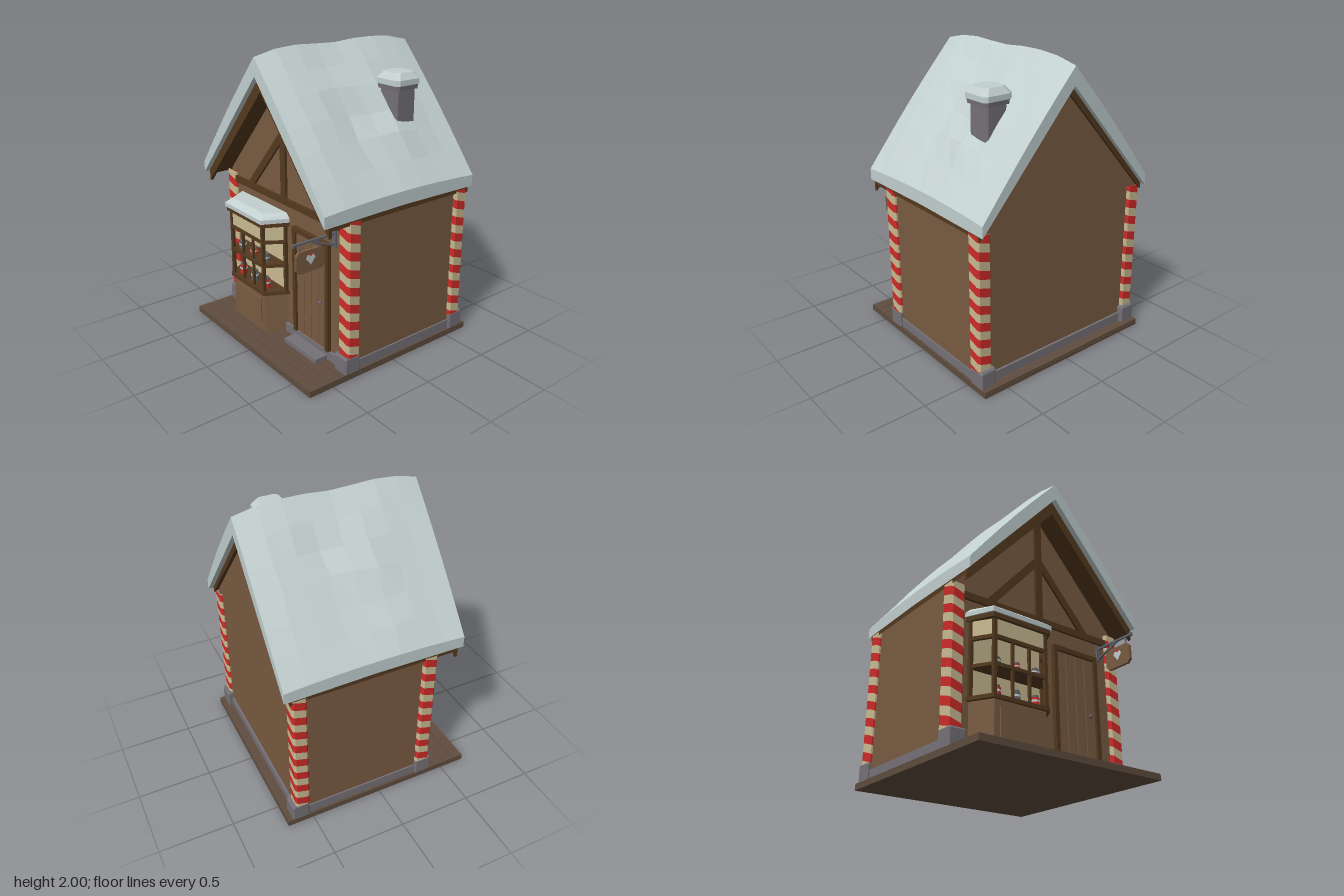
import * as THREE from 'three';

const mat = (name, hex) => {
  const m = new THREE.MeshStandardMaterial({ color: hex });
  m.name = name;
  return m;
};

export function createModel() {
  const root = new THREE.Group();
  root.name = 'snowyShop';
  const wood = mat('wall wood', 0x7a5c42), dark = mat('dark timber', 0x543a20);
  const plank = mat('plank brown', 0x5f4d3f), stone = mat('stone', 0x767278);
  const snow = mat('snow', 0xc3d0d0), red = mat('candy red', 0xd02c28);
  const cream = mat('cream', 0xcabc94), metal = mat('metal', 0x65646c);

  const add = (name, geo, m) => {
    const mesh = new THREE.Mesh(geo, m);
    mesh.name = name;
    root.add(mesh);
    return mesh;
  };
  // Box given by its limits
  const box = (name, m, x0, x1, y0, y1, z0, z1) => {
    const b = add(name, new THREE.BoxGeometry(x1 - x0, y1 - y0, z1 - z0), m);
    b.position.set((x0 + x1) / 2, (y0 + y1) / 2, (z0 + z1) / 2);
    return b;
  };
  // Square bar between two points
  const bar = (name, m, p, q, w, h) => {
    const a = new THREE.Vector3(...p), b = new THREE.Vector3(...q);
    const mesh = add(name, new THREE.BoxGeometry(w, h, a.distanceTo(b)), m);
    mesh.position.copy(a).add(b).multiplyScalar(0.5);
    mesh.lookAt(b);
    return mesh;
  };
  const shapeOf = (pts) => new THREE.Shape(pts.map(([x, y]) => new THREE.Vector2(x, y)));
  const extrude = (pts, depth) => new THREE.ExtrudeGeometry(shapeOf(pts), { depth, bevelEnabled: false });
  // Outline in x, y pushed along z
  const slab = (name, m, pts, z0, z1) => add(name, extrude(pts, z1 - z0).translate(0, 0, z0), m);
  const flat = (geo) => {
    const g = geo.index ? geo.toNonIndexed() : geo;
    g.computeVertexNormals();
    return g;
  };
  // Stack of chamfered rectangles, each ring [y, half x, half z]
  const chamferRing = (hx, hz, c) => [[-hx + c, hz], [hx - c, hz], [hx, hz - c], [hx, -hz + c],
    [hx - c, -hz], [-hx + c, -hz], [-hx, -hz + c], [-hx, hz - c]];
  const loft = (rings, c) => {
    const pos = [], n = 8;
    const R = rings.map(([y, hx, hz]) => chamferRing(hx, hz, c).map(([x, z]) => [x, y, z]));
    for (let i = 0; i + 1 < R.length; i++) for (let j = 0; j < n; j++) {
      const k = (j + 1) % n, a = R[i][j], b = R[i][k], d = R[i + 1][j], e = R[i + 1][k];
      pos.push(...a, ...b, ...e, ...a, ...e, ...d);
    }
    const top = R[R.length - 1], low = R[0];
    for (let j = 1; j < n - 1; j++) pos.push(...top[0], ...top[j], ...top[j + 1], ...low[0], ...low[j + 1], ...low[j]);
    const g = new THREE.BufferGeometry();
    g.setAttribute('position', new THREE.Float32BufferAttribute(pos, 3));
    return flat(g);
  };

  // Plank floor
  box('floorBase', plank, -0.68, 0.68, 0, 0.03, -0.68, 0.68);
  for (let i = 0; i < 17; i++) {
    const z = -0.68 + i * 0.08;
    box('floorPlank', plank, -0.68, 0.68, 0.03, 0.042, z + 0.002, z + 0.078);
  }

  // Foundation, step and house walls
  box('foundation', stone, -0.665, 0.665, 0.04, 0.105, -0.615, 0.378);
  box('doorStep', stone, 0.115, 0.46, 0.04, 0.072, 0.37, 0.47);
  slab('walls', wood, [[-0.655, 0.1], [0.655, 0.1], [0.655, 1.06], [0, 1.8], [-0.655, 1.06]], -0.6, 0.36);

  // Striped corner posts on stone plinths
  const postRing = chamferRing(0.05, 0.05, 0.013);
  const fractions = [0];
  postRing.forEach(([x, z], j) => {
    const [x2, z2] = postRing[(j + 1) % 8];
    fractions.push(fractions[j] + Math.hypot(x2 - x, z2 - z));
  });
  const stripeGeometry = (parity) => {
    const pos = [], h = 0.058;
    const yAt = (k, j) => THREE.MathUtils.clamp(0.15 + (k - 2 * fractions[j] / fractions[8]) * h, 0.15, 1.06);
    for (let k = parity; k < 20; k += 2) for (let j = 0; j < 8; j++) {
      const [x, z] = postRing[j], [x2, z2] = postRing[(j + 1) % 8];
      const a = [x, yAt(k, j), z], b = [x2, yAt(k, j + 1), z2];
      const c = [x2, yAt(k + 1, j + 1), z2], d = [x, yAt(k + 1, j), z];
      pos.push(...a, ...b, ...c, ...a, ...c, ...d);
    }
    const g = new THREE.BufferGeometry();
    g.setAttribute('position', new THREE.Float32BufferAttribute(pos, 3));
    return flat(g);
  };
  const stripes = [stripeGeometry(0), stripeGeometry(1)];
  for (const sx of [-1, 1]) for (const z of [0.335, -0.57]) {
    add('postRedStripes', stripes[0], red).position.set(sx * 0.63, 0, z);
    add('postCreamStripes', stripes[1], cream).position.set(sx * 0.63, 0, z);
    const plinth = loft([[0.04, 0.058, 0.059], [0.145, 0.058, 0.059], [0.156, 0.052, 0.053]], 0.008);
    add('plinth', plinth, stone).position.set(sx * 0.622, 0, z + (z > 0 ? 0.008 : -0.015));
  }

  // Roof boards
  const chevron = (t) => [[0, 1.84], [-0.675, 1.085], [-0.675, 1.085 - t], [0, 1.84 - t * 1.2], [0.675, 1.085 - t], [0.675, 1.085]];
  slab('roofDeck', dark, chevron(0.045), -0.63, 0.52);
  slab('frontBargeboard', dark, chevron(0.09), 0.508, 0.53);
  slab('backBargeboard', dark, chevron(0.055), -0.632, -0.612);

  // Thick uneven snow on the roof
  const roof = new THREE.BoxGeometry(1.36, 1, 1.235, 12, 1, 8);
  const rp = roof.attributes.position;
  for (let i = 0; i < rp.count; i++) {
    const x = rp.getX(i), z = rp.getZ(i), u = Math.abs(x) / 0.68, v = z / 0.6175;
    const inner = Math.sin(Math.PI * u) * (1 - v * v);
    if (rp.getY(i) > 0) {
      const ridge = 1.95 + 0.05 * (1 - v ** 4) - 0.018 * Math.exp(-((v - 0.08) ** 2) * 14);
      const eave = 1.14 + 0.024 * (1 - v * v);
      const bump = 0.018 * Math.sin(Math.PI * u) + 0.02 * inner * Math.sin(x * 23 + z * 17) * Math.cos(z * 13 - x * 9);
      rp.setXYZ(i, x + 0.02 * inner * Math.sin(z * 31), ridge + u * (eave - ridge) + bump, z + 0.025 * inner * Math.sin(x * 29));
    } else rp.setY(i, 1.832 - 0.757 * u - 0.01 * u * Math.abs(v));
  }
  add('roofSnow', flat(roof), snow).position.z = -0.05;

  // Chimney with a snow cap
  const stack = [
    ['chimney', stone, [[1.3, 0.08, 0.084], [1.73, 0.08, 0.084]], 0.014],
    ['chimneyRim', stone, [[1.715, 0.098, 0.098], [1.755, 0.102, 0.102]], 0.022],
    ['chimneySnow', snow, [[1.745, 0.107, 0.107], [1.78, 0.107, 0.107], [1.822, 0.077, 0.077]], 0.024],
  ];
  for (const [name, m, rings, c] of stack) add(name, loft(rings, c), m).position.set(0.34, 0, -0.292);

  // Front gable timbers
  box('crossBeam', dark, -0.6, 0.6, 0.975, 1.022, 0.35, 0.378);
  box('kingPost', dark, -0.027, 0.027, 1.02, 1.78, 0.35, 0.378);
  for (const s of [-1, 1]) bar('gableBrace', dark, [s * 0.4, 1.0, 0.364], [s * 0.01, 1.435, 0.364], 0.024, 0.052);

  // Door
  box('doorBacking', dark, 0.13, 0.455, 0.105, 0.83, 0.355, 0.366);
  for (let i = 0; i < 4; i++) {
    const x = 0.136 + i * 0.0785;
    box('doorPlank', wood, x + 0.0025, x + 0.076, 0.108, 0.825, 0.36, 0.374);
  }
  box('doorFrameRight', dark, 0.105, 0.136, 0.105, 0.86, 0.355, 0.388);
  box('doorFrameLeft', dark, 0.45, 0.481, 0.105, 0.86, 0.355, 0.388);
  box('doorFrameTop', dark, 0.105, 0.481, 0.828, 0.86, 0.355, 0.389);
  add('doorKnob', new THREE.SphereGeometry(0.013, 10, 8), metal).position.set(0.4, 0.43, 0.388);

  // Bay window: tapered plates centred on x = -0.26
  const bay = (name, m, hf, hb, zf, y0, y1) => {
    const g = extrude([[-hb, -0.35], [-hf, -zf], [hf, -zf], [hb, -0.35]], y1 - y0).rotateX(-Math.PI / 2);
    add(name, g, m).position.set(-0.26, y0, 0);
  };
  bay('bayBase', wood, 0.19, 0.275, 0.5, 0.04, 0.34);
  box('bayPanel', wood, -0.41, -0.105, 0.1, 0.29, 0.495, 0.508);
  bay('baySill', dark, 0.205, 0.3, 0.517, 0.33, 0.355);
  bay('bayShelf', dark, 0.195, 0.29, 0.51, 0.53, 0.552);
  bay('bayHeader', dark, 0.215, 0.305, 0.525, 0.828, 0.86);
  box('windowBack', cream, -0.53, 0.01, 0.35, 0.83, 0.355, 0.364);
  const corners = [[-0.53, 0.375], [-0.45, 0.5], [-0.07, 0.5], [0.01, 0.375]];
  for (const [x, z] of corners) box('bayPost', dark, x - 0.012, x + 0.012, 0.35, 0.83, z - 0.012, z + 0.01);
  for (const x of [-0.318, -0.193]) box('bayMullion', dark, x - 0.008, x + 0.008, 0.35, 0.715, 0.49, 0.506);
  for (let i = 0; i < 3; i++) {
    const [x, z] = corners[i], [x2, z2] = corners[i + 1];
    bar('bayRail', dark, [x, 0.715, z], [x2, 0.715, z2], 0.02, 0.024);
    bar('transomPane', cream, [x, 0.778, z], [x2, 0.778, z2], 0.006, 0.105);
  }
  // Snow on the bay roof, from stacked tapering outlines
  const baySnow = [];
  const outlines = [[0.857, 0.222, 0.31, 0.533], [0.885, 0.222, 0.31, 0.533], [0.917, 0.19, 0.275, 0.49]]
    .map(([y, hf, hb, zf]) => [[-hb, y, 0.35], [-hf, y, zf], [hf, y, zf], [hb, y, 0.35]]);
  for (let i = 0; i < 2; i++) for (let j = 0; j < 4; j++) {
    const k = (j + 1) % 4, A = outlines[i], B = outlines[i + 1];
    baySnow.push(...A[j], ...A[k], ...B[k], ...A[j], ...B[k], ...B[j]);
  }
  const [lowRing, , topRing] = outlines;
  for (const j of [1, 2]) baySnow.push(...topRing[0], ...topRing[j], ...topRing[j + 1], ...lowRing[0], ...lowRing[j + 1], ...lowRing[j]);
  const baySnowGeo = new THREE.BufferGeometry();
  baySnowGeo.setAttribute('position', new THREE.Float32BufferAttribute(baySnow, 3));
  add('baySnow', flat(baySnowGeo), snow).position.x = -0.26;

  // Sweet jars on both shelves
  const jar = (x, y, h, bodyMat, bandMat) => {
    const parts = [[0, 0.45, 0.027, bodyMat], [0.45, 0.62, 0.0275, bandMat], [0.62, 0.8, 0.026, bodyMat], [0.8, 1, 0.021, metal]];
    for (const [a, b, r, m] of parts)
      add('jar', new THREE.CylinderGeometry(r, r, (b - a) * h, 10), m).position.set(x, y + (a + b) / 2 * h, 0.452);
  };
  [-0.4, -0.257, -0.113].forEach((x, i) => {
    jar(x, 0.552, 0.055, i === 1 ? red : metal, snow);
    jar(x, 0.355, 0.078, i === 1 ? metal : red, snow);
  });

  // Hanging sign on a metal bracket
  box('bracketPlate', metal, 0.505, 0.535, 0.85, 0.965, 0.36, 0.372);
  bar('bracketArm', metal, [0.52, 0.94, 0.36], [0.52, 0.94, 0.675], 0.014, 0.014);
  box('bracketTip', metal, 0.51, 0.53, 0.93, 0.95, 0.665, 0.68);
  bar('bracketBrace', metal, [0.52, 0.865, 0.365], [0.52, 0.935, 0.545], 0.012, 0.012);
  for (const z of [0.492, 0.625]) box('signHanger', metal, 0.516, 0.524, 0.88, 0.94, z - 0.004, z + 0.004);
  const signGeo = extrude(chamferRing(0.104, 0.07, 0.022).reverse(), 0.02).translate(0, 0, -0.01).rotateY(Math.PI / 2);
  add('signBoard', signGeo, wood).position.set(0.52, 0.82, 0.553);
  // Painted sweet on both sides of the sign
  for (const s of [-1, 1]) {
    const sweet = extrude([[0, -0.036], [0.034, 0.008], [0.022, 0.028], [-0.022, 0.028], [-0.034, 0.008]], 0.003);
    const face = add('signSweet', sweet, snow);
    face.rotation.y = s * Math.PI / 2;
    face.position.set(0.52 + s * 0.009, 0.83, 0.553);
    const berry = add('signBerry', new THREE.CylinderGeometry(0.011, 0.011, 0.004, 10), red);
    berry.rotation.z = Math.PI / 2;
    berry.position.set(0.52 + s * 0.011, 0.862, 0.553);
  }
  return root;
}
